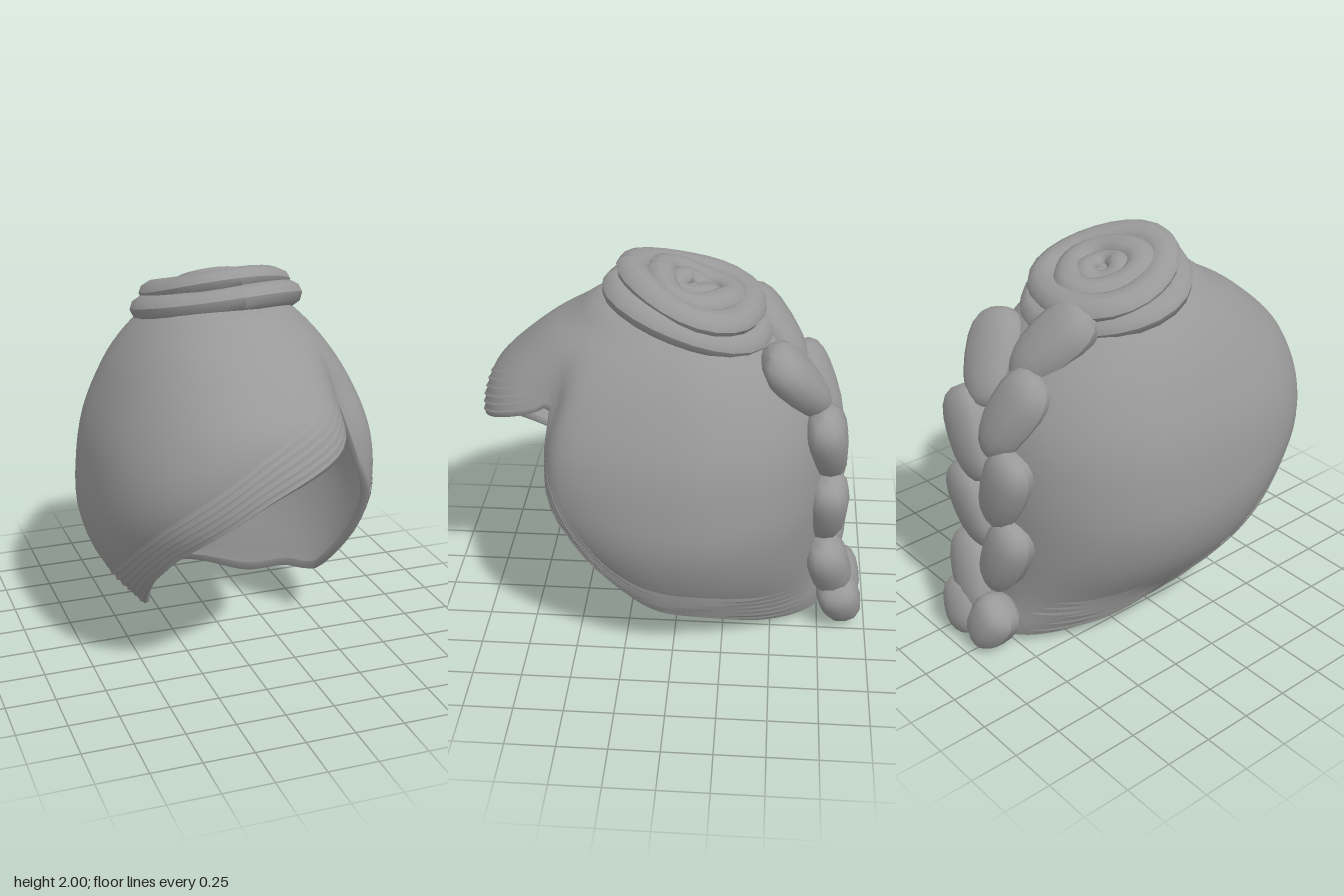
import * as THREE from 'three';

const hair = new THREE.MeshStandardMaterial({ color: 0x999999, side: THREE.DoubleSide });
hair.name = 'hair grey';
const { smoothstep, lerp, clamp, degToRad } = THREE.MathUtils;

// Smooth interpolation through [key, value] pairs with rising keys
function table(pts) {
  const slope = (i) => {
    const a = pts[Math.max(i - 1, 0)], b = pts[Math.min(i + 1, pts.length - 1)];
    return (b[1] - a[1]) / (b[0] - a[0]);
  };
  return (k) => {
    let i = 0;
    while (i < pts.length - 2 && k > pts[i + 1][0]) i++;
    const [x0, y0] = pts[i], [x1, y1] = pts[i + 1], h = x1 - x0;
    const t = clamp((k - x0) / h, 0, 1), t2 = t * t, t3 = t2 * t;
    return (2 * t3 - 3 * t2 + 1) * y0 + (t3 - 2 * t2 + t) * h * slope(i)
      + (3 * t2 - 2 * t3) * y1 + (t3 - t2) * h * slope(i + 1);
  };
}

// Surface from a grid of points; fn(row, u) gives a Vector3
function grid(rows, cols, fn) {
  const pos = [], idx = [];
  for (let i = 0; i <= rows; i++) {
    for (let j = 0; j <= cols; j++) {
      pos.push(...fn(i, j / cols).toArray());
      if (i < rows && j < cols) {
        const a = i * (cols + 1) + j, c = a + cols + 1;
        idx.push(a, c, a + 1, a + 1, c, c + 1);
      }
    }
  }
  const g = new THREE.BufferGeometry();
  g.setAttribute('position', new THREE.Float32BufferAttribute(pos, 3));
  g.setIndex(idx);
  g.computeVertexNormals();
  return g;
}

function add(parent, name, geometry) {
  const mesh = new THREE.Mesh(geometry, hair);
  mesh.name = name;
  parent.add(mesh);
  return mesh;
}

// Head outline by height: half width, front depth, back depth
const TOP = 1.84;
const byHeight = (pts) => {
  const f = table(pts.map(([y, r]) => [Math.sqrt(TOP - y), r]));
  return (y) => f(Math.sqrt(Math.max(TOP - y, 0)));
};
const halfWidth = byHeight([[1.84, 0], [1.8, 0.28], [1.7, 0.42], [1.6, 0.505], [1.5, 0.57], [1.4, 0.62], [1.3, 0.665],
  [1.18, 0.705], [1, 0.735], [0.75, 0.742], [0.52, 0.675], [0.36, 0.59], [0.28, 0.53], [0.08, 0.38], [0.03, 0.34]]);
const front = byHeight([[1.84, 0], [1.81, 0.36], [1.72, 0.52], [1.64, 0.655], [1.55, 0.77], [1.46, 0.87], [1.37, 0.94],
  [1.22, 0.98], [1.05, 0.965], [0.9, 0.9], [0.75, 0.78], [0.6, 0.66], [0.45, 0.5], [0.3, 0.35], [0.03, 0.2]]);
const back = byHeight([[1.84, 0], [1.8, 0.2], [1.7, 0.38], [1.6, 0.5], [1.45, 0.63], [1.2, 0.74],
  [0.9, 0.77], [0.6, 0.755], [0.3, 0.74], [0.15, 0.75], [0.03, 0.77]]);

// Height of the hairline by angle in degrees (0 = front, 90 = left)
const hairline = table([[-180, 0.03], [-156, 0.05], [-139, 0.07], [-113, 0.13], [-75, 0.24], [-56, 0.4],
  [-41, 0.6], [-31, 0.75], [-18, 0.92], [-6, 1.07], [6, 1.17], [19, 1.25], [29, 1.32], [35, 1.36],
  [38.5, 1.12], [47, 0.85], [55, 0.6], [65, 0.4], [79, 0.28], [108, 0.2], [139, 0.09], [157, 0.05], [180, 0.03]]);

// Point on the head at an angle and height, fuller on the swept side, dented at the parting
function onHead(deg, y, lift = 0) {
  const a = degToRad(deg), s = Math.sin(a), c = Math.cos(a);
  const depth = c > 0 ? front(y) : back(y);
  const w = halfWidth(y) * (s < 0 ? lerp(0.88, 0.975, smoothstep(y, 0.15, 0.6)) : 1);
  const n = c < 0 ? 2 : s > 0 ? 2.2 : lerp(2.8, 2.1, smoothstep(y, 0.9, 1.55));
  let r = w < 1e-4 ? 0 : (Math.abs(s / w) ** n + Math.abs(c / depth) ** n) ** (-1 / n);
  const fade = smoothstep(y, 0.6, 1.15) * (1 - smoothstep(y, 1.36, 1.68));
  r += lift - 0.1 * fade * Math.exp(-(((deg - 35) / (deg < 35 ? 11 : 8)) ** 2));
  return new THREE.Vector3(s * r, y, c * r);
}

function addCap(root) {
  const rows = 30;
  // Outer hair, with the last two rows rolled inward as a rim
  add(root, 'hairCap', grid(rows + 2, 144, (i, u) => {
    const deg = u * 360 - 180, edge = hairline(deg);
    if (i > rows) return onHead(deg, edge + (i - rows - 1) * 0.04 + 0.005, -0.03 - 0.015 * (i - rows - 1));
    return onHead(deg, TOP - (TOP - edge) * (i / rows) ** 1.6);
  }));

  // Fine overlapping locks that follow the hairline
  const locks = new THREE.Group();
  locks.name = 'hairLocks';
  root.add(locks);
  const bands = [['fringeLock', -105, 33], ['sideLock', 39, 165], ['backLock', -170, -100]];
  for (const [name, from, to] of bands) {
    for (let k = 0; k < 6; k++) {
      const a = from + (k % 3) * 6, b = to - (k > 2 ? (k - 2) * 5 : 0);
      add(locks, name, grid(1, 40, (i, u) => {
        const deg = a + (b - a) * u, thin = Math.sin(Math.PI * u);
        return onHead(deg, hairline(deg) + 0.035 + k * 0.04 - i * 0.03 * thin, i ? 0.003 + 0.01 * thin : 0.003);
      }));
    }
  }
}

// Coiled bun: flattened rolls shrinking toward the middle
function addBun(root) {
  const bun = new THREE.Group();
  bun.name = 'bun';
  bun.position.set(0.02, 1.76, -0.045);
  bun.rotation.x = -0.29;
  root.add(bun);
  // radius, height, roll width, roll thickness
  const rolls = [[0.35, 0, 0.08, 0.065], [0.295, 0.085, 0.085, 0.06], [0.18, 0.105, 0.075, 0.05], [0.085, 0.095, 0.06, 0.045]];
  rolls.forEach(([r, h, w, t], n) => {
    add(bun, 'bunRoll', grid(10, 26, (i, u) => {
      const a = u * Math.PI * 2, b = -i / 10 * Math.PI * 2;
      const wob = 0.014 * Math.sin(3 * a + n * 2) * (n < 3 ? 1 : 0.3);
      const d = r + wob + Math.cos(b) * w;
      return new THREE.Vector3(Math.sin(a) * d, h + 0.012 * Math.sin(2 * a + n) + Math.sin(b) * t, Math.cos(a) * d);
    }));
  });
  const core = add(bun, 'bunCore', new THREE.CylinderGeometry(0.26, 0.33, 0.14, 24));
  core.position.y = 0.03;
}

// Braid: blocky tapered lobes alternating from side to side down the back
function addBraid(root) {
  const braid = new THREE.Group();
  braid.name = 'braid';
  root.add(braid);
  const path = new THREE.CatmullRomCurve3([[0.08, 1.61, -0.46], [0.09, 1.44, -0.61], [0.08, 1.2, -0.73],
    [0.06, 0.9, -0.765], [0.06, 0.6, -0.765], [0.06, 0.35, -0.8], [0.07, 0.15, -0.865]].map((p) => new THREE.Vector3(...p)));

  // Lobe with a broad upper end, squared section and narrow tip
  const lobe = new THREE.SphereGeometry(1, 12, 10);
  const p = lobe.attributes.position;
  const square = (v) => Math.sign(v) * Math.abs(v) ** 0.8;
  for (let i = 0; i < p.count; i++) {
    const y = p.getY(i), k = 1 + 0.2 * y;
    p.setXYZ(i, square(p.getX(i)) * k, square(y), square(p.getZ(i)) * k);
  }
  lobe.computeVertexNormals();

  // The last two lobes sit side by side as the tail
  for (let n = 0; n < 10; n++) {
    const t = Math.min(n / 8, 1), side = n % 2 ? 1 : -1;
    const down = path.getTangentAt(t), across = new THREE.Vector3(1, 0, 0);
    const up = down.clone().negate().addScaledVector(across, side * 0.45).normalize();
    const out = new THREE.Vector3().crossVectors(across, up).normalize();
    const x = new THREE.Vector3().crossVectors(up, out);
    const mesh = add(braid, 'braidLobe', lobe);
    mesh.quaternion.setFromRotationMatrix(new THREE.Matrix4().makeBasis(x, up, out));
    mesh.position.copy(path.getPointAt(t)).addScaledVector(across, side * (0.15 - 0.045 * t));
    mesh.scale.set(0.155 - 0.03 * t, n > 7 ? 0.155 : 0.255 - 0.025 * t, 0.1 + 0.01 * t);
  }
}

export function createModel() {
  const root = new THREE.Group();
  root.name = 'braidedHair';
  addCap(root);
  addBun(root);
  addBraid(root);
  return root;
}
